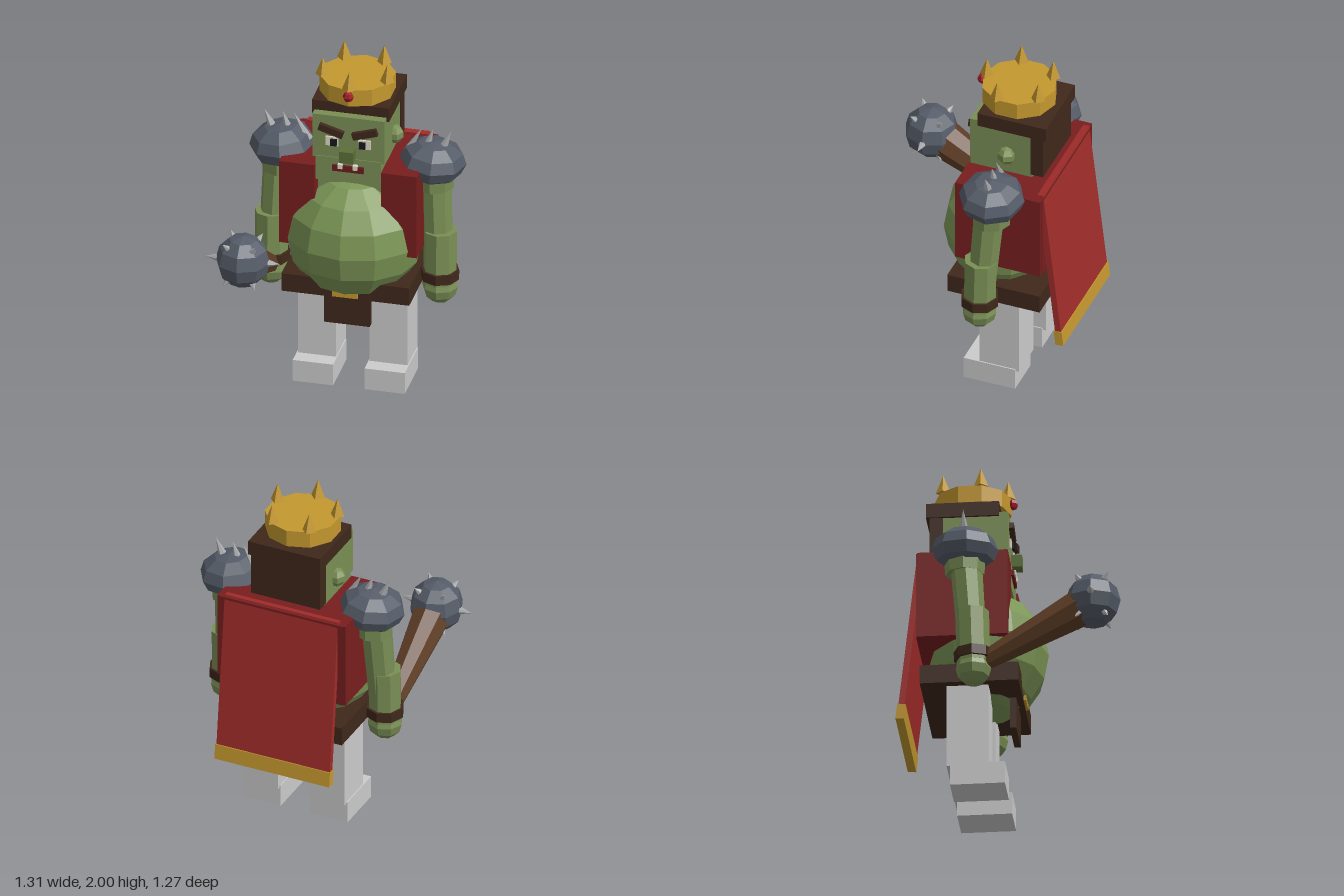
import * as THREE from 'three';

const mat = (color) => new THREE.MeshStandardMaterial({ color, flatShading: true });
const skin = mat(0x7a8f55), bellySkin = mat(0x7c9656), noseSkin = mat(0x5c7038), hair = mat(0x3f281b);
const vestRed = mat(0x781e1e), capeRed = mat(0xa02c2a), gold = mat(0xc4982f), steel = mat(0x555c68);
const spikeGrey = mat(0xa8aaac), wood = mat(0x5f3e26), white = mat(0xe0dccb), black = mat(0x18181c);
const ruby = mat(0xa01c24), lip = mat(0x6a1c1c), grey = mat(0xcccccc);

const UP = new THREE.Vector3(0, 1, 0);
const V = (x, y, z) => new THREE.Vector3(x, y, z);

export function createModel() {
  const model = new THREE.Group();
  model.name = 'ogreKing';
  const body = new THREE.Group();
  body.name = 'body';
  body.position.x = 0.042;
  model.add(body);

  function add(name, geometry, material, x, y, z, parent = body) {
    const mesh = new THREE.Mesh(geometry, material);
    mesh.name = name;
    mesh.position.set(x, y, z);
    parent.add(mesh);
    return mesh;
  }
  // box given by its extents on each axis
  const box = (name, m, x0, x1, y0, y1, z0, z1) =>
    add(name, new THREE.BoxGeometry(x1 - x0, y1 - y0, z1 - z0), m, (x0 + x1) / 2, (y0 + y1) / 2, (z0 + z1) / 2);
  // cylinder or cone running from point a to point b
  function rod(name, m, a, b, r0, r1, sides) {
    const dir = b.clone().sub(a);
    const mid = a.clone().add(b).multiplyScalar(0.5);
    const mesh = add(name, new THREE.CylinderGeometry(r1, r0, dir.length(), sides), m, mid.x, mid.y, mid.z);
    mesh.quaternion.setFromUnitVectors(UP, dir.normalize());
    return mesh;
  }
  function ball(name, m, x, y, z, rx, ry, rz, w, h) {
    const mesh = add(name, new THREE.SphereGeometry(1, w, h), m, x, y, z);
    mesh.scale.set(rx, ry, rz);
    return mesh;
  }

  // torso, belly and belt
  box('torso', skin, -0.19, 0.19, 0.65, 1.34, -0.42, -0.08);
  ball('belly', bellySkin, 0, 0.92, -0.15, 0.39, 0.37, 0.338, 12, 8);
  box('belt', hair, -0.367, 0.367, 0.61, 0.72, -0.5, 0.053);
  box('buckle', gold, -0.072, 0.072, 0.62, 0.7, 0.04, 0.067);
  box('loincloth', hair, -0.132, 0.132, 0.425, 0.63, -0.018, 0.018);

  // vest and cape
  box('vestBack', vestRed, -0.382, 0.382, 0.885, 1.4, -0.518, -0.38);
  const cape = new THREE.Group();
  cape.name = 'cape';
  cape.position.set(0, 1.415, -0.497);
  cape.rotation.x = 0.115;
  body.add(cape);
  add('capeCloth', new THREE.BoxGeometry(0.7, 0.94, 0.035), capeRed, 0, -0.47, 0, cape);
  add('capeTrim', new THREE.BoxGeometry(0.71, 0.09, 0.048), gold, 0, -0.972, 0, cape);

  // head
  box('head', skin, -0.207, 0.207, 1.45, 1.72, -0.39, -0.02);
  box('jaw', skin, -0.188, 0.188, 1.31, 1.46, -0.385, -0.015);
  box('hairCap', hair, -0.222, 0.222, 1.695, 1.78, -0.48, -0.07);
  box('hairBack', hair, -0.213, 0.213, 1.435, 1.7, -0.46, -0.385);
  box('nose', noseSkin, -0.04, 0.04, 1.458, 1.53, -0.03, 0.04);
  box('mouth', lip, -0.09, 0.09, 1.382, 1.418, -0.03, 0);

  // crown
  add('crownBand', new THREE.CylinderGeometry(0.214, 0.214, 0.1, 10), gold, 0, 1.84, -0.235);
  for (let i = 0; i < 5; i++) {
    const a = (i / 5) * Math.PI * 2;
    add('crownPoint', new THREE.ConeGeometry(0.042, 0.11, 4), gold,
      Math.sin(a) * 0.195, 1.945, -0.235 + Math.cos(a) * 0.195);
  }
  ball('crownJewel', ruby, 0, 1.856, -0.015, 0.032, 0.032, 0.032, 6, 4);

  // paired parts
  for (const s of [-1, 1]) {
    const pair = (name, m, x0, x1, y0, y1, z0, z1) =>
      box(name, m, Math.min(s * x0, s * x1), Math.max(s * x0, s * x1), y0, y1, z0, z1);

    pair('leg', grey, 0.096, 0.315, 0.12, 0.66, -0.355, -0.12);
    pair('foot', grey, 0.09, 0.322, 0, 0.132, -0.335, -0.027);
    pair('vestPanel', vestRed, 0.19, 0.396, 0.885, 1.4, -0.513, -0.005);

    // face
    pair('eye', white, 0.056, 0.13, 1.535, 1.59, -0.03, -0.01);
    pair('pupil', black, 0.064, 0.1, 1.54, 1.58, -0.02, 0.003);
    pair('tooth', white, 0.03, 0.056, 1.402, 1.43, -0.02, 0.008);
    const brow = add('eyebrow', new THREE.BoxGeometry(0.145, 0.04, 0.035), hair, s * 0.097, 1.633, -0.01);
    brow.rotation.z = s * 0.3;
    ball('ear', skin, s * 0.21, 1.53, -0.24, 0.055, 0.055, 0.055, 6, 5);

    // arm
    rod('shoulderJoint', skin, V(s * 0.44, 1.23, -0.24), V(s * 0.44, 1.4, -0.24), 0.11, 0.12, 8);
    rod('upperArm', skin, V(s * 0.472, 0.86, -0.2), V(s * 0.45, 1.34, -0.235), 0.082, 0.09, 8);
    rod('forearm', skin, V(s * 0.485, 0.66, -0.187), V(s * 0.485, 0.98, -0.195), 0.095, 0.095, 8);
    rod('wristCuff', hair, V(s * 0.485, 0.68, -0.187), V(s * 0.485, 0.738, -0.188), 0.11, 0.11, 8);
    ball('hand', skin, s * 0.485, 0.63, -0.187, 0.102, 0.1, 0.1, 8, 6);

    // spiked shoulder guard
    const guard = ball('shoulderGuard', steel, s * 0.432, 1.39, -0.24, 0.188, 0.125, 0.188, 8, 6);
    guard.rotation.set(0, 0.15, -s * 0.1);
    const tips = [[0.49, 1.48, 0.537], [0.4, 1.48, 0.432], [0.285, 1.43, 0.37]];
    for (const [x, y, tx] of tips)
      rod('shoulderSpike', spikeGrey, V(s * x, y, -0.24), V(s * tx, 1.59, -0.24), 0.028, 0, 6);
  }

  // spiked club held in the right hand
  const head = V(-0.482, 1.018, 0.482);
  rod('clubShaft', wood, V(-0.482, 0.635, -0.2), V(-0.482, 0.98, 0.41), 0.05, 0.112, 8);
  ball('clubHead', steel, head.x, head.y, head.z, 0.155, 0.155, 0.155, 8, 6);
  const dirs = [V(1, 0, 0), V(-1, 0, 0)];
  for (const x of [-1, 1]) for (const y of [-1, 1]) for (const z of [-1, 1])
    dirs.push(V(x * 0.5, y * 0.72, z * 0.5).normalize());
  dirs.forEach((d, i) => rod('clubSpike', spikeGrey,
    head.clone().addScaledVector(d, 0.13), head.clone().addScaledVector(d, i < 2 ? 0.215 : 0.188), 0.026, 0, 6));

  return model;
}
